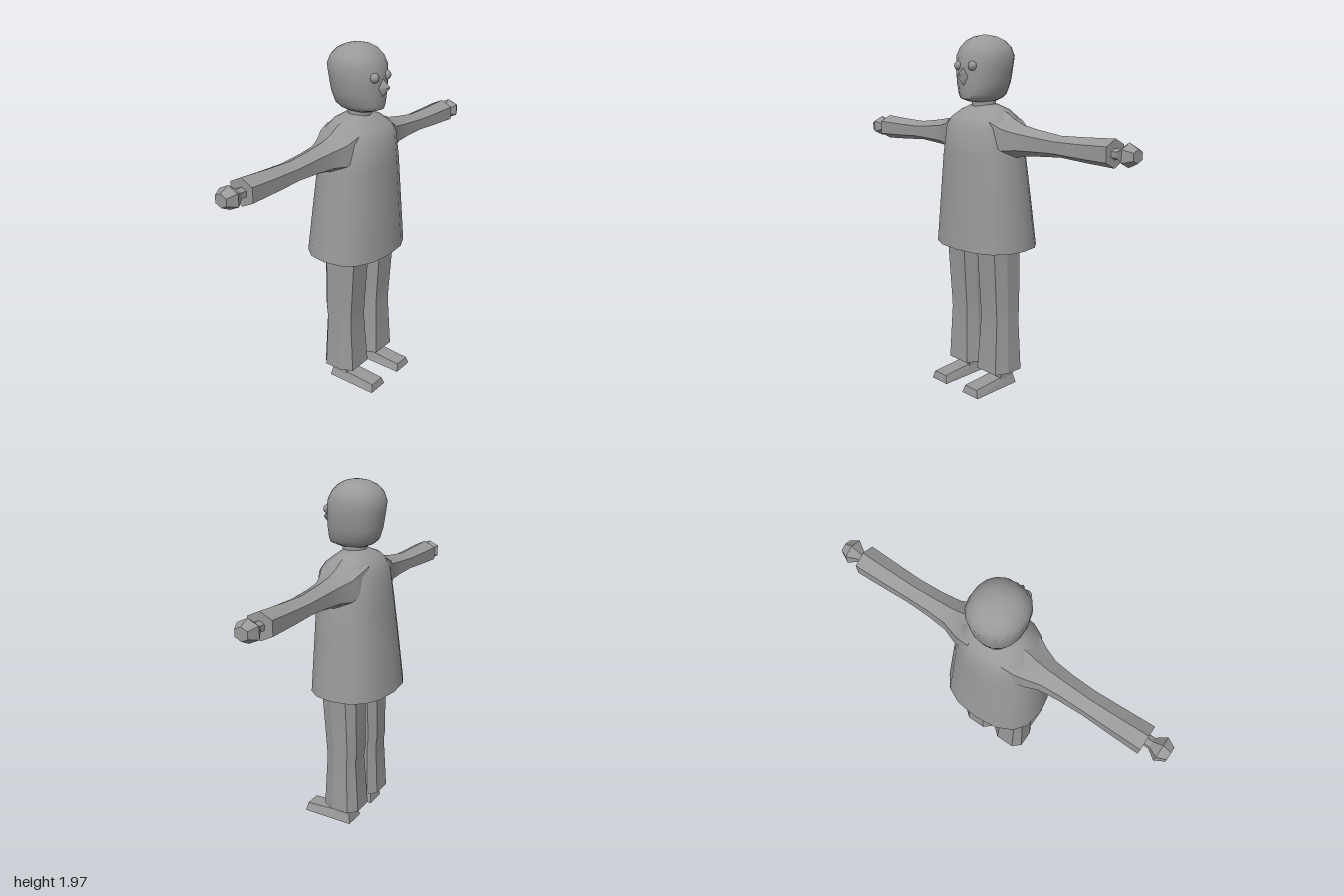
import * as THREE from 'three';
import { toCreasedNormals } from 'three/addons/utils/BufferGeometryUtils.js';

const grey = new THREE.MeshStandardMaterial({ color: 0x999999 });
grey.name = 'plain grey';

// Skin a list of equal-length rings of [x, y, z], cap both ends, face outward
function loft(rings, crease = 0.6) {
  const n = rings[0].length, tris = [];
  const centre = (r) => [0, 1, 2].map((k) => r.reduce((s, p) => s + p[k], 0) / n);
  const first = rings[0], last = rings[rings.length - 1];
  const c0 = centre(first), c1 = centre(last);
  for (let j = 0; j < n; j++) {
    const k = (j + 1) % n;
    for (let i = 0; i < rings.length - 1; i++) {
      const a = rings[i], b = rings[i + 1];
      tris.push([a[j], a[k], b[k]], [a[j], b[k], b[j]]);
    }
    tris.push([c0, first[k], first[j]], [c1, last[j], last[k]]);
  }
  let volume = 0;
  for (const [a, b, c] of tris) {
    volume += a[0] * (b[1] * c[2] - b[2] * c[1]) + a[1] * (b[2] * c[0] - b[0] * c[2])
      + a[2] * (b[0] * c[1] - b[1] * c[0]);
  }
  const flat = tris.flatMap(([a, b, c]) => (volume > 0 ? [a, b, c] : [a, c, b])).flat();
  const geo = new THREE.BufferGeometry();
  geo.setAttribute('position', new THREE.Float32BufferAttribute(flat, 3));
  if (crease) return toCreasedNormals(geo, crease);
  geo.computeVertexNormals();
  return geo;
}

// Horizontal rounded ring: half width, front z, back z, squareness
function ring(y, hw, zf, zb, n = 16, power = 1) {
  const zc = (zf + zb) / 2, hz = (zf - zb) / 2;
  return Array.from({ length: n }, (_, i) => {
    const a = (i / n) * Math.PI * 2;
    const s = Math.sin(a), c = Math.cos(a);
    return [hw * Math.sign(s) * Math.abs(s) ** power, y, zc + hz * Math.sign(c) * Math.abs(c) ** power];
  });
}

// Six-sided section across an arm, with points at top and bottom
function armRing(side, x, bottom, top, hz, zc = 0) {
  const h = top - bottom;
  return [[1, 0], [0.77, 1], [0.23, 1], [0, 0], [0.23, -1], [0.77, -1]]
    .map(([t, z]) => [side * x, bottom + h * t, zc + z * hz]);
}

export function createModel() {
  const model = new THREE.Group();
  model.name = 'figure';
  const add = (name, geometry, parent = model) => {
    const mesh = new THREE.Mesh(geometry, grey);
    mesh.name = name;
    parent.add(mesh);
    return mesh;
  };

  // Long flared coat with rounded shoulders
  add('coat', loft([
    [0.82, 0.295, 0.22, -0.245], [1.1, 0.265, 0.205, -0.213], [1.33, 0.24, 0.193, -0.185],
    [1.49, 0.21, 0.183, -0.167], [1.535, 0.195, 0.15, -0.145],
    [1.575, 0.145, 0.1, -0.11], [1.605, 0.07, 0.06, -0.06],
  ].map(([y, w, f, b]) => ring(y, w, f, b, 16, 0.82)), 0.75));

  // Neck and head
  add('neck', loft([ring(1.58, 0.07, 0.075, -0.055, 12), ring(1.66, 0.07, 0.075, -0.055, 12)]));
  add('head', loft([
    [1.62, 0.06, 0.1, -0.06], [1.637, 0.092, 0.15, -0.1], [1.66, 0.11, 0.155, -0.125],
    [1.72, 0.131, 0.157, -0.143], [1.8, 0.142, 0.158, -0.155], [1.86, 0.147, 0.152, -0.163],
    [1.905, 0.132, 0.13, -0.145], [1.94, 0.1, 0.098, -0.11], [1.96, 0.062, 0.06, -0.066],
    [1.97, 0.015, 0.015, -0.018],
  ].map(([y, w, f, b]) => ring(y, w, f, b, 18, 0.9)), 1));

  // Small pointed nose
  add('nose', loft([
    [[0, 1.815, 0.14], [0.035, 1.75, 0.14], [0, 1.69, 0.14], [-0.035, 1.75, 0.14]],
    [[0, 1.765, 0.2], [0.005, 1.758, 0.2], [0, 1.752, 0.2], [-0.005, 1.758, 0.2]],
  ], 1.2));

  for (const side of [1, -1]) {
    const label = side > 0 ? 'left' : 'right';

    add(label + 'Eye', new THREE.SphereGeometry(0.026, 12, 8)).position.set(side * 0.053, 1.81, 0.142);

    // Sleeve that widens into the shoulder
    add(label + 'Sleeve', loft([
      [0.1, 1.38, 1.59, 0.13], [0.17, 1.35, 1.565, 0.12], [0.22, 1.325, 1.535, 0.1],
      [0.29, 1.343, 1.508, 0.075], [0.4, 1.353, 1.49, 0.065], [0.54, 1.363, 1.473, 0.062],
      [0.7, 1.353, 1.478, 0.066], [0.87, 1.345, 1.487, 0.07],
    ].map(([x, b, t, z]) => armRing(side, x, b, t, z, -0.003)), 0.65));

    // Wrist and faceted hand
    add(label + 'Hand', loft([
      [0.84, 1.388, 1.442, 0.028], [0.9, 1.388, 1.442, 0.028],
      [0.95, 1.357, 1.476, 0.06], [1.0, 1.382, 1.45, 0.036],
    ].map(([x, b, t, z]) => armRing(side, x, b, t, z)), 0));

    // Trouser leg, pinched at the knee
    const corners = [[0.68, 1], [1, 0.35], [1, -0.6], [0.55, -1], [-0.55, -1], [-1, -0.6], [-1, 0.35], [-0.68, 1]];
    add(label + 'Trouser', loft([
      [0.095, 0.118, 0.108, 0.105, -0.11], [0.41, 0.122, 0.092, 0.087, -0.092],
      [0.47, 0.122, 0.092, 0.09, -0.1], [0.84, 0.122, 0.099, 0.115, -0.095],
    ].map(([y, xc, hw, f, b]) => corners.map(([x, z]) => [
      side * (xc + x * hw), y, (f + b) / 2 + z * (f - b) / 2])), 0.3));

    // Ankle
    add(label + 'Ankle', new THREE.BoxGeometry(0.1, 0.1, 0.095)).position.set(side * 0.13, 0.09, 0.002);

    // Wedge shoe, lower at the toe
    const shoe = (hw, yf, yb, zf, zb) => [[-hw, yf, zf], [hw, yf, zf], [hw, yb, zb], [-hw, yb, zb]]
      .map(([x, y, z]) => [x + side * 0.13, y, z]);
    add(label + 'Shoe', loft([shoe(0.062, 0, 0, 0.245, -0.062), shoe(0.046, 0.045, 0.064, 0.237, -0.05)], 0));
  }
  return model;
}
